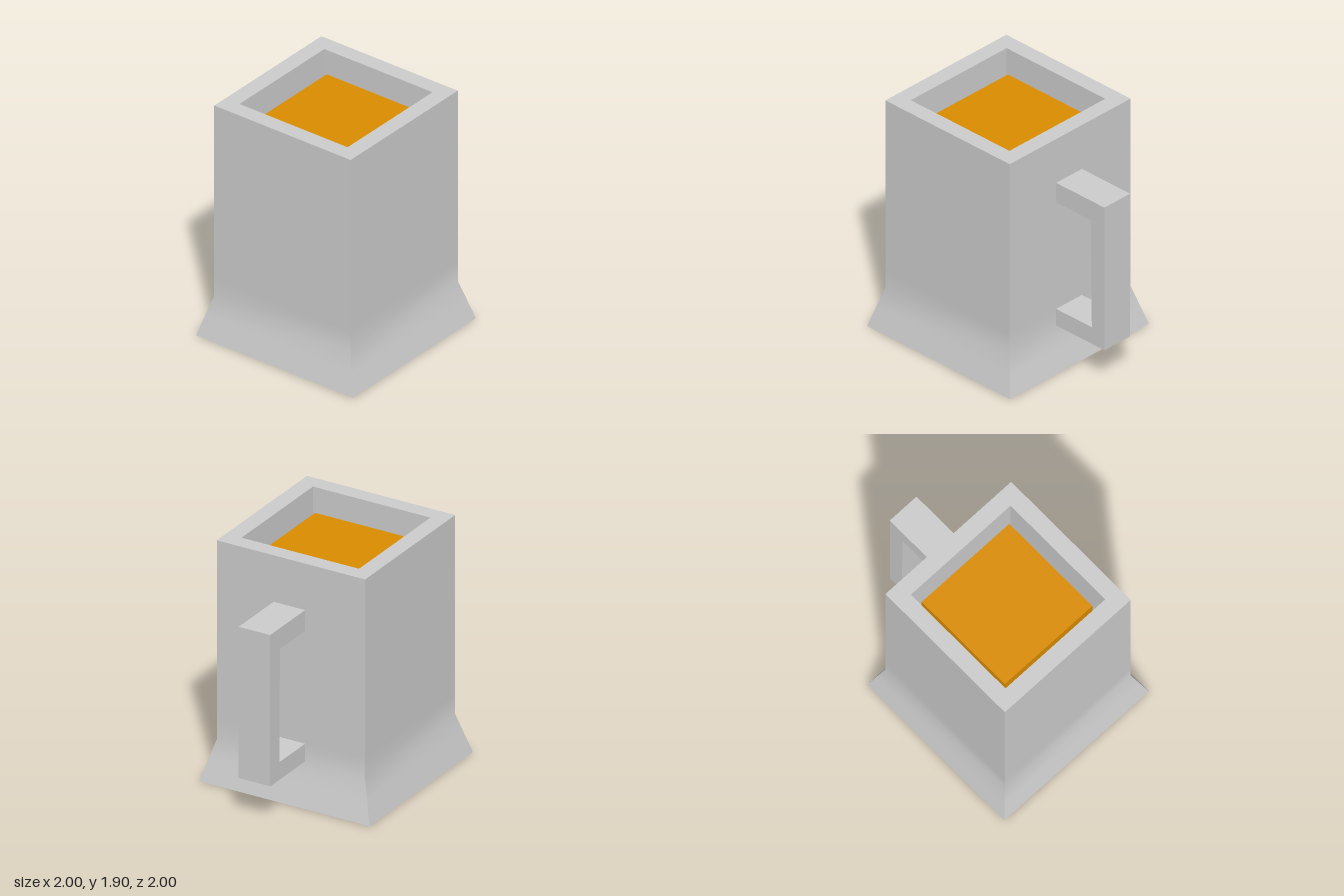
import * as THREE from 'three';

const TURN = 0.6365; // the whole mug stands turned about y

// Square shell: sweeps a [halfWidth, y] profile round four sides.
// Corners stay sharp, the profile itself is shaded smooth.
function squareShell(profile) {
  const pos = [], index = [];
  for (let side = 0; side < 4; side++) {
    const c = Math.cos(side * Math.PI / 2), s = Math.sin(side * Math.PI / 2);
    const start = pos.length / 3;
    for (const [h, y] of profile)
      for (const z of [h, -h]) pos.push(c * h + s * z, y, -s * h + c * z);
    for (let i = 0; i < profile.length - 1; i++) {
      const a = start + i * 2, b = a + 1, d = a + 2, e = a + 3;
      index.push(a, b, e, a, e, d);
    }
  }
  const geo = new THREE.BufferGeometry();
  geo.setAttribute('position', new THREE.Float32BufferAttribute(pos, 3));
  geo.setIndex(index);
  geo.computeVertexNormals();
  return geo;
}

export function createModel() {
  const model = new THREE.Group();
  model.name = 'squareMug';
  const grey = new THREE.MeshStandardMaterial({ color: 0xcccccc });
  const amber = new THREE.MeshStandardMaterial({ color: 0xd98c00 });

  const add = (name, geo, mat, parent = model) => {
    const mesh = new THREE.Mesh(geo, mat);
    mesh.name = name;
    parent.add(mesh);
    return mesh;
  };

  // Body, listed from the underside up, over the rim and down into the cavity
  const base = 0.715, wall = 0.6225, inner = 0.4935, top = 1.905, floor = 0.2;
  const body = new THREE.Group();
  body.name = 'body';
  model.add(body);
  const pieces = {
    underside: [[0, 0], [base, 0]],
    outerWall: [[base, 0], [0.669, 0.16], [wall, 0.32], [wall, 0.48], [wall, top]],
    rim: [[wall, top], [inner, top]],
    innerWall: [[inner, top], [inner, floor]],
    cavityFloor: [[inner, floor], [0, floor]],
  };
  for (const [name, profile] of Object.entries(pieces))
    add(name, squareShell(profile), grey, body);

  // Drink: a block standing inside, slightly narrower than the cavity
  const level = 1.74;
  add('drink', new THREE.BoxGeometry(0.866, level - floor, 0.866), amber)
    .position.set(0.01, (level + floor) / 2, 0);

  // Handle: square C outline, extruded across its width
  const root = 0.56, outer = 1.106;
  const outline = new THREE.Shape([
    [root, 0.33], [outer, 0.33], [outer, 1.535], [root, 1.535],
    [root, 1.37], [0.972, 1.37], [0.98, 0.47], [root, 0.47],
  ].map(([x, y]) => new THREE.Vector2(x, y)));
  const width = 0.265;
  add('handle', new THREE.ExtrudeGeometry(outline, { depth: width, bevelEnabled: false }), grey)
    .position.z = 0.0125 - width / 2;

  model.rotation.y = TURN;
  const root3d = new THREE.Group();
  root3d.name = 'mug';
  root3d.add(model);
  return root3d;
}
